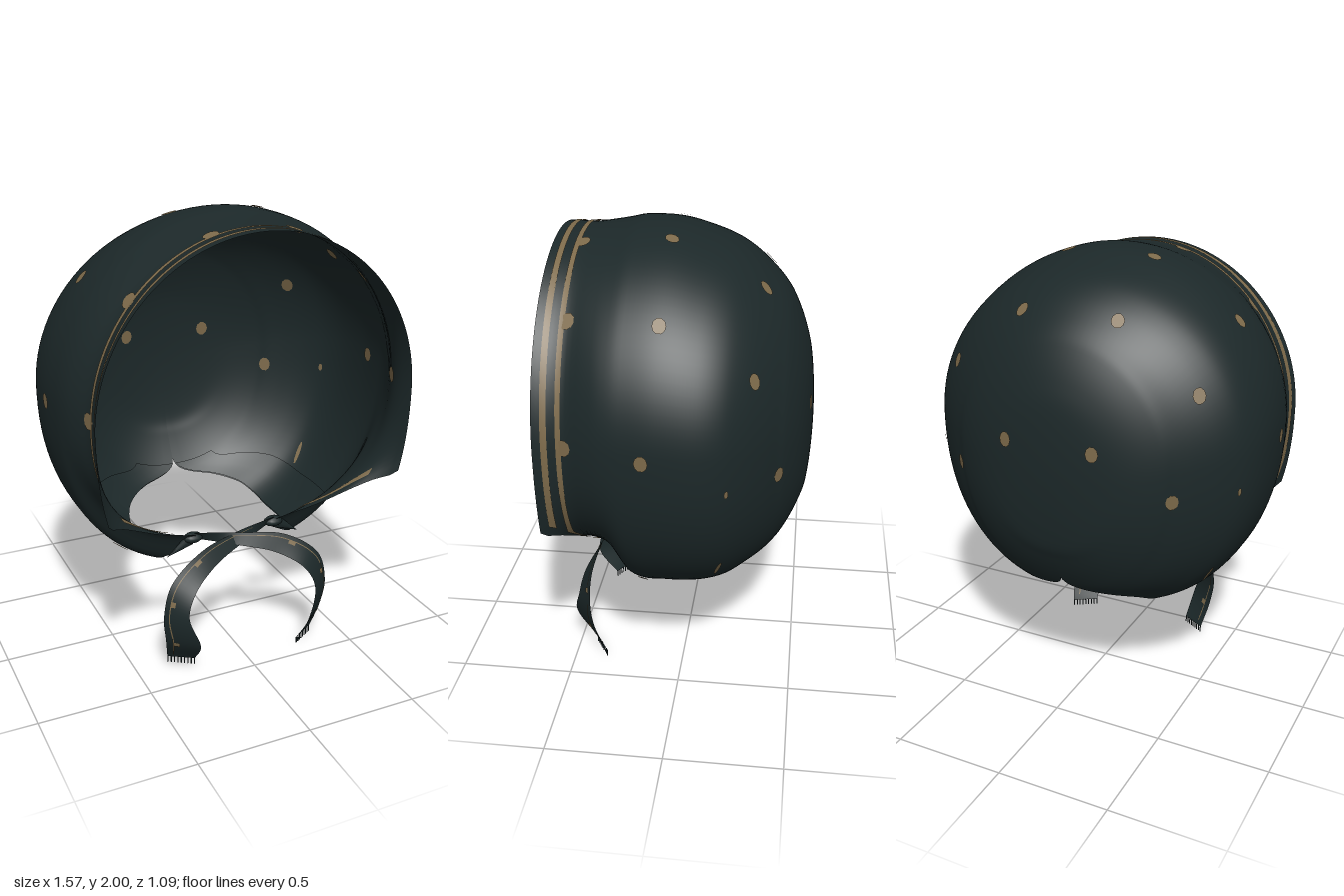
import * as THREE from 'three';

const cloth = new THREE.MeshStandardMaterial({ color: 0x1c2829, side: THREE.DoubleSide });
cloth.name = 'dark teal cloth';
const gold = new THREE.MeshStandardMaterial({ color: 0x7d6a4a, side: THREE.DoubleSide });
gold.name = 'muted gold';

// Cross-sections back to front: z, half width, top, bottom, middle height, end angle (degrees from top)
const ROWS = [
  [-0.55, 0, 1.14, 1.14, 1.14, 180],
  [-0.53, 0.23, 1.43, 0.85, 1.14, 180],
  [-0.5, 0.345, 1.55, 0.76, 1.16, 180],
  [-0.44, 0.47, 1.69, 0.64, 1.19, 180],
  [-0.41, 0.51, 1.735, 0.595, 1.2, 177],
  [-0.36, 0.58, 1.79, 0.545, 1.21, 165],
  [-0.28, 0.67, 1.86, 0.49, 1.22, 158],
  [-0.2, 0.73, 1.91, 0.44, 1.23, 156],
  [-0.1, 0.765, 1.95, 0.41, 1.24, 156],
  [0.05, 0.778, 1.99, 0.4, 1.25, 156],
  [0.2, 0.768, 1.995, 0.42, 1.25, 158],
  [0.28, 0.752, 1.98, 0.57, 1.25, 169],
  [0.34, 0.73, 1.97, 0.605, 1.24, 158.6],
  [0.42, 0.697, 1.96, 0.59, 1.22, 137],
  [0.48, 0.697, 1.96, 0.5, 1.22, 122.5],
  [0.54, 0.715, 1.96, 0.3, 1.22, 110.5],
];
const Z0 = -0.55, DEPTH = 1.09;
const toQ = z => Math.sqrt(Math.max(0, (z - Z0) / DEPTH));
const toZ = q => Z0 + DEPTH * q * q;
const QS = ROWS.map(r => toQ(r[0]));

// Smooth interpolation of one column of the table
function column(q, c) {
  let i = 0;
  while (i < ROWS.length - 2 && q > QS[i + 1]) i++;
  const slope = k => {
    const a = Math.max(0, k - 1), b = Math.min(ROWS.length - 1, k + 1);
    return (ROWS[b][c] - ROWS[a][c]) / (QS[b] - QS[a]);
  };
  const h = QS[i + 1] - QS[i], t = (q - QS[i]) / h, t2 = t * t, t3 = t2 * t;
  return (2 * t3 - 3 * t2 + 1) * ROWS[i][c] + (t3 - 2 * t2 + t) * h * slope(i)
    + (3 * t2 - 2 * t3) * ROWS[i + 1][c] + (t3 - t2) * h * slope(i + 1);
}

const endAngle = q => Math.min(180, column(q, 5)) * Math.PI / 180;

// Round above the middle, slightly squared below it
function hoodPoint(q, phi) {
  const s = Math.sin(phi), c = Math.cos(phi), mid = column(q, 4);
  const height = c > 0 ? column(q, 2) - mid : mid - column(q, 3);
  const power = c > 0 ? 1 : 0.87;
  return new THREE.Vector3(
    Math.sign(s) * column(q, 1) * Math.abs(s) ** power,
    mid + Math.sign(c) * height * Math.abs(c) ** power,
    toZ(q));
}

// Outward normal of the hood
function hoodNormal(q, phi) {
  const e = 0.004, qa = Math.max(0.02, q - e), qb = Math.min(1, q + e);
  const along = hoodPoint(qb, phi).sub(hoodPoint(qa, phi));
  const around = hoodPoint(q, phi + e).sub(hoodPoint(q, phi - e));
  const normal = around.cross(along).normalize();
  const out = hoodPoint(q, phi).sub(new THREE.Vector3(0, 1.2, 0));
  return normal.dot(out) < 0 ? normal.negate() : normal;
}

// Grid surface from a function of (u, v) in 0..1
function sheet(name, material, nu, nv, fn) {
  const pos = [], index = [];
  for (let i = 0; i <= nu; i++) for (let j = 0; j <= nv; j++) pos.push(...fn(i / nu, j / nv).toArray());
  for (let i = 0; i < nu; i++) for (let j = 0; j < nv; j++) {
    const a = i * (nv + 1) + j, b = a + nv + 1;
    index.push(a, a + 1, b, b, a + 1, b + 1);
  }
  const g = new THREE.BufferGeometry();
  g.setAttribute('position', new THREE.Float32BufferAttribute(pos, 3));
  g.setIndex(index);
  g.computeVertexNormals();
  const m = new THREE.Mesh(g, material);
  m.name = name;
  return m;
}

// Patch lying on the hood between two depths and two fractions of the arc
function patch(name, material, z0, z1, s0, s1, lift, nu, nv) {
  const q0 = toQ(z0), q1 = toQ(z1);
  return sheet(name, material, nu, nv, (u, v) => {
    const q = q0 + (q1 - q0) * u, phi = (s0 + (s1 - s0) * v) * endAngle(q);
    const p = hoodPoint(q, phi);
    return lift ? p.addScaledVector(hoodNormal(q, phi), lift) : p;
  });
}

// Flat upright spot, mirrored left and right, on both the outside and the inside of the cloth
function addSpot(group, z, degrees, width, height) {
  const q = toQ(z);
  for (const side of [1, -1]) for (const lift of [0.005, -0.005]) {
    const phi = side * degrees * Math.PI / 180;
    const normal = hoodNormal(q, phi);
    const across = new THREE.Vector3(0, 1, 0).cross(normal).normalize();
    const m = new THREE.Mesh(new THREE.CircleGeometry(1, 10), gold);
    m.name = 'spot';
    m.scale.set(width, height, 1);
    m.position.copy(hoodPoint(q, phi)).addScaledVector(normal, lift);
    m.quaternion.setFromRotationMatrix(
      new THREE.Matrix4().makeBasis(across, normal.clone().cross(across), normal));
    group.add(m);
  }
}

// Tie: a ribbon from one knot across the chin, hanging on the other side
function makeTie(name, side, endY, shift) {
  const V = (x, y, z) => new THREE.Vector3(x * side, y, z);
  const path = new THREE.CatmullRomCurve3([
    V(-0.2, 0.59, 0.27), V(0, 0.565, 0.33 + shift), V(0.18, 0.525, 0.39), V(0.315, 0.43, 0.435),
    V(0.355, 0.31, 0.45), V(0.328, 0.18, 0.455), V(0.31, endY, 0.385)]);
  const widths = new THREE.CatmullRomCurve3([
    V(0.005, 0.02, 0.02), V(0.01, 0.025, -0.01), V(0.025, 0.035, -0.015), V(0.045, 0.02, -0.025),
    V(0.045, 0, -0.035), V(0.06, 0, -0.053), V(0.053, 0, -0.033)]);
  const strip = (n, mat, u0, u1, a, b, lift, steps) => sheet(n, mat, steps, 2, (u, v) => {
    const t = u0 + (u1 - u0) * u, w = widths.getPoint(t);
    const normal = path.getTangent(t).cross(w).normalize();
    return path.getPoint(t).addScaledVector(w, a + (b - a) * v).addScaledVector(normal, lift);
  });
  const g = new THREE.Group();
  g.name = name;
  g.add(strip('ribbon', cloth, 0, 1, -1, 1, 0, 48));
  for (const lift of [0.004, -0.004]) {
    g.add(strip('ribbonStripe', gold, 0.1, 0.97, 0.52, 0.6, lift, 48));
    for (const u of [0.36, 0.58, 0.84]) g.add(strip('ribbonSpot', gold, u, u + 0.03, 0.2, 0.6, lift, 3));
  }
  // Fringe threads
  const end = path.getPoint(1), w = widths.getPoint(1);
  for (let i = 0; i < 9; i++) {
    const m = new THREE.Mesh(new THREE.BoxGeometry(0.004, 0.03, 0.004), cloth);
    m.name = 'fringe';
    m.position.copy(end).addScaledVector(w, -0.96 + i * 0.24);
    m.position.y -= 0.014;
    g.add(m);
  }
  return g;
}

export function createModel() {
  const model = new THREE.Group();
  model.name = 'bonnet';

  // Hood with open face and neck
  model.add(patch('hood', cloth, Z0, 0.54, -1, 1, 0, 96, 96));
  // Hem turned inside along the neck opening
  for (const s of [1, -1]) {
    model.add(patch('neckHem', cloth, -0.43, 0.2, s, s * 0.88, -0.012, 32, 4));
  }

  // Gold border stripes around the face, continuing along the lower edge to the knots
  for (const [z0, z1, s] of [[0.427, 0.449, 0.95], [0.483, 0.508, 0.96]]) {
    model.add(patch('borderStripe', gold, z0, z1, -s, s, 0.004, 2, 96));
  }
  for (const s of [1, -1]) for (const lift of [0.005, -0.005]) {
    model.add(patch('lowerBorderStripe', gold, 0.31, 0.45, s * 0.94, s * 0.965, lift, 24, 2));
  }

  // Spots: depth, angle from the top, half width and half height
  const spots = new THREE.Group();
  spots.name = 'spots';
  for (const [z, a] of [[0.05, 15], [0.05, 49], [0.1, 90], [-0.31, 61], [-0.33, 20.5], [-0.415, 98],
    [-0.53, 60]]) addSpot(spots, z, a, 0.028, 0.034);
  for (const a of [15, 48, 87]) addSpot(spots, 0.417, a, 0.03, 0.036);
  addSpot(spots, -0.22, 97, 0.01, 0.018);
  addSpot(spots, -0.18, 131, 0.01, 0.06);
  addSpot(spots, 0.15, 143, 0.018, 0.05);
  model.add(spots);

  // Knots with a small loose corner
  for (const s of [1, -1]) {
    const knot = new THREE.Mesh(new THREE.SphereGeometry(0.035, 12, 8), cloth);
    knot.name = 'knot';
    knot.scale.set(1.3, 0.7, 0.9);
    knot.position.set(0.2 * s, 0.58, 0.27);
    const corner = new THREE.Mesh(new THREE.ConeGeometry(0.03, 0.13, 8), cloth);
    corner.name = 'looseCorner';
    corner.scale.z = 0.4;
    corner.position.set(0.27 * s, 0.54, 0.27);
    corner.rotation.z = -2.1 * s;
    model.add(knot, corner);
  }

  model.add(makeTie('leftTie', 1, 0.03, 0.015), makeTie('rightTie', -1, 0.06, 0));
  return model;
}
